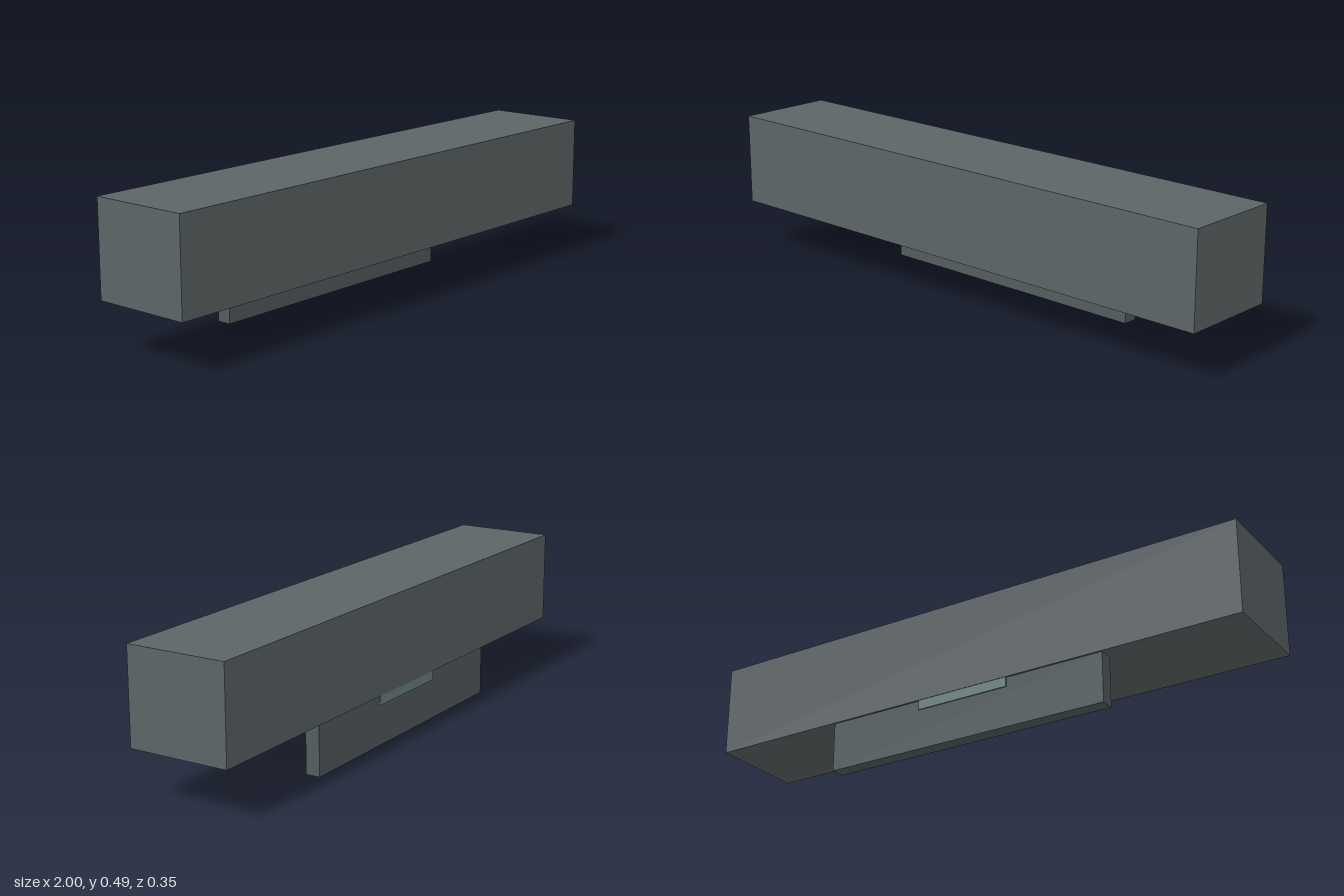
import * as THREE from 'three';

// Adds a named box given its min and max corners
function addBox(group, name, color, [x0, y0, z0], [x1, y1, z1]) {
  const mesh = new THREE.Mesh(
    new THREE.BoxGeometry(x1 - x0, y1 - y0, z1 - z0),
    new THREE.MeshStandardMaterial({ color })
  );
  mesh.name = name;
  mesh.position.set((x0 + x1) / 2, (y0 + y1) / 2, (z0 + z1) / 2);
  group.add(mesh);
}

export function createModel() {
  const group = new THREE.Group();
  group.name = 'wallUnit';

  // Long main housing
  addBox(group, 'housing', 0x5c6466, [-1, 0.172, -0.175], [1, 0.492, 0.175]);

  // Thin panel hanging below the rear edge
  addBox(group, 'lowerPanel', 0x535c5e, [-0.52, 0, -0.168], [0.52, 0.172, -0.118]);

  // Small raised strip on the back of the panel
  addBox(group, 'backStrip', 0x6c8282, [-0.17, 0.139, -0.173], [0.17, 0.172, -0.168]);

  return group;
}
